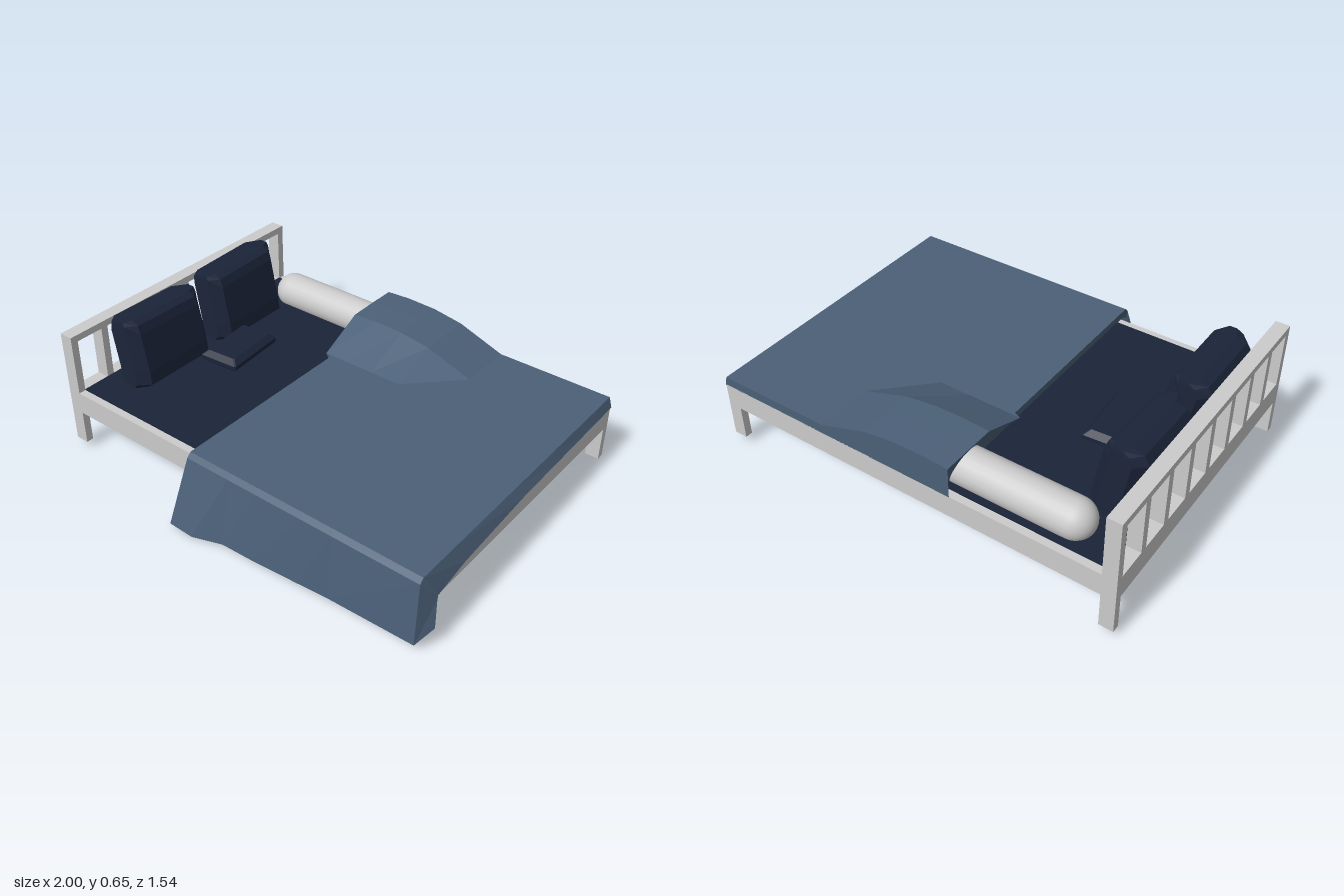
import * as THREE from 'three';

const mat = (color, opts = {}) => new THREE.MeshStandardMaterial({ color, ...opts });

// Surface through a grid of points: rows of equal length
function gridGeometry(rows, closed = false) {
  const n = rows[0].length, index = [];
  for (let j = 0; j < rows.length - 1; j++) {
    for (let i = 0; i < (closed ? n : n - 1); i++) {
      const a = j * n + i, b = j * n + (i + 1) % n;
      index.push(a, a + n, b + n, a, b + n, b);
    }
  }
  if (closed) {
    const top = (rows.length - 1) * n;
    for (let i = 1; i < n - 1; i++) index.push(0, i, i + 1, top, top + i + 1, top + i);
  }
  const g = new THREE.BufferGeometry();
  g.setAttribute('position', new THREE.Float32BufferAttribute(rows.flat(2), 3));
  g.setIndex(index);
  g.computeVertexNormals();
  return g;
}

// Horizontal chamfered rectangle, used as a cushion cross-section
function ring(y, x0, x1, z0, z1, cx, cz) {
  return [
    [x1, y, z0 + cz], [x1, y, z1 - cz], [x1 - cx, y, z1], [x0 + cx, y, z1],
    [x0, y, z1 - cz], [x0, y, z0 + cz], [x0 + cx, y, z0], [x1 - cx, y, z0],
  ];
}

export function createModel() {
  const model = new THREE.Group();
  const grey = mat(0xcccccc);
  const navy = mat(0x1b2439, { flatShading: true });
  const blue = mat(0x4b6078, { flatShading: true, side: THREE.DoubleSide });

  const add = (name, geo, material, parent = model) => {
    const m = new THREE.Mesh(geo, material);
    m.name = name;
    parent.add(m);
    return m;
  };
  // Box from its limits
  const box = (name, x0, x1, y0, y1, z0, z1, material, parent) =>
    add(name, new THREE.BoxGeometry(x1 - x0, y1 - y0, z1 - z0), material, parent)
      .position.set((x0 + x1) / 2, (y0 + y1) / 2, (z0 + z1) / 2);

  // Bed frame: posts, and rails made of a thin outer wall under a flat top ledge
  const frame = new THREE.Group();
  frame.name = 'frame';
  model.add(frame);
  const zB = -0.77, zF = 0.63, t = 0.035, wall = 0.006, y0 = 0.203, y1 = 0.31, ledge = 0.302;
  for (const [z, zWall] of [[zB, zB], [zF - t, zF - wall]]) {
    box('headPost', -1, -0.935, 0.037, 0.6, z, z + t, grey, frame);
    box('footLeg', 0.9, 0.965, 0.037, y1, z, z + t, grey, frame);
    box('sideRail', -0.935, 0.9, y0, ledge, zWall, zWall + wall, grey, frame);
    box('sideLedge', -0.935, 0.9, ledge, y1, z, z + t, grey, frame);
  }
  box('headRail', -1, -1 + wall, y0, ledge, zB + t, zF - t, grey, frame);
  box('headLedge', -1, -0.935, ledge, y1, zB + t, zF - t, grey, frame);
  box('headTopRail', -1, -0.935, 0.568, 0.6, zB + t, zF - t, grey, frame);
  box('footRail', 0.965 - wall, 0.965, y0, ledge, zB + t, zF - t, grey, frame);
  box('footLedge', 0.93, 0.965, ledge, y1, zB + t, zF - t, grey, frame);
  for (let i = 1; i < 8; i++) {
    const z = zB + i * (zF - zB - t) / 8;
    box('headSlat', -1, -0.935, y1, 0.568, z, z + t, grey, frame);
  }

  // Mattress sheet at the head end, blanket underside over the rest
  box('mattress', -0.935, -0.2, 0.302, 0.315, zB + t, zF - t, navy);
  box('blanketUnderside', -0.2, 0.93, 0.3, 0.31, zB + t, zF - t, blue);

  // Bolster, partly under the blanket
  const bolster = add('bolster', new THREE.CapsuleGeometry(0.088, 0.76, 8, 24), grey);
  bolster.rotation.z = Math.PI / 2;
  bolster.position.set(-0.352, 0.357, -0.625);

  // Leaning pillows: [y, back x, front x], the top sloping along z
  const levels = [
    [0.315, -0.87, -0.73], [0.335, -0.895, -0.7], [0.4, -0.9, -0.708],
    [0.59, -0.935, -0.745], [0.63, -0.91, -0.76], [0.647, -0.86, -0.79],
  ];
  const pillow = (z0, z1, lower, slope) => add('pillow', gridGeometry(levels.map(([y, x0, x1], i) =>
    ring(y, x0, x1, z0 + i * 0.002, z1 - i * 0.002, (x1 - x0) * 0.26, 0.045)
      .map(([x, py, z]) => [x, i > 2 ? py - lower + slope * (z - (z0 + z1) / 2) : py, z])), true), navy);
  pillow(-0.515, -0.073, 0, -0.035);
  pillow(-0.005, 0.45, 0.015, 0.015);

  // Small flat cushion
  const cushion = add('smallCushion', gridGeometry(
    [[0.316, 0.025], [0.34, 0], [0.36, 0], [0.383, 0.025]].map(([y, s]) =>
      ring(y, -0.1 + s, 0.1 - s, -0.157 + s, 0.157 - s, 0.006, 0.006)), true), navy);
  cushion.position.set(-0.593, 0, -0.055);
  cushion.rotation.y = 0.08;

  // Blanket: rows run along x, from the back edge over the bed to the hanging front
  const xs = [-0.2, -0.13, 0.02, 0.17, 0.4, 0.55, 0.955];
  const hump = [0.1, 0.107, 0.103, 0.08, 0, 0, 0];
  // [z, hump share, head edge x, foot hem y]
  const topRows = [
    [-0.77, 1, -0.25, 0.305], [-0.64, 1, -0.25, 0.305], [-0.5, 0.97, -0.25, 0.305],
    [-0.27, 0, -0.24, 0.305], [-0.255, 0, -0.205, 0.305], [0, 0, -0.205, 0.305],
    [0.43, 0, -0.205, 0.28], [0.66, 0, -0.205, 0.25],
  ];
  const rows = topRows.map(([z, k, edge, footY]) => {
    const row = xs.map((x, i) => [i ? x : edge, 0.354 + hump[i] * k, z]);
    if (z === -0.27) row[4][0] = 0.48;
    // Flap down to the mattress at the head end, short drop at the foot
    return [[-0.2, 0.308, z], ...row, [0.97 + 0.02 * (z + 0.77) / 1.4, footY, Math.min(z, 0.61)]];
  });
  // Short drop along the back
  rows.unshift(rows[0].map(([x, y]) => [x, Math.min(y, 0.308), -0.77]));
  // Front fold and hanging side
  rows.push(rows[rows.length - 1].map(([x, y, z]) => [x, y - 0.02, z + (z > 0.65 ? 0.02 : 0.003)]));
  const hemX = [-0.245, -0.25, -0.13, 0.02, 0.17, 0.4, 0.55, 0.96, 1];
  const hemY = [0.02, 0.015, 0.003, 0.025, 0.025, 0.03, 0.035, 0.045, 0.1];
  const hemZ = [0.765, 0.77, 0.765, 0.735, 0.73, 0.718, 0.71, 0.705, 0.63];
  rows.push(hemX.map((x, i) => [x, hemY[i], hemZ[i]]));
  add('blanket', gridGeometry(rows.reverse()), blue);

  return model;
}
